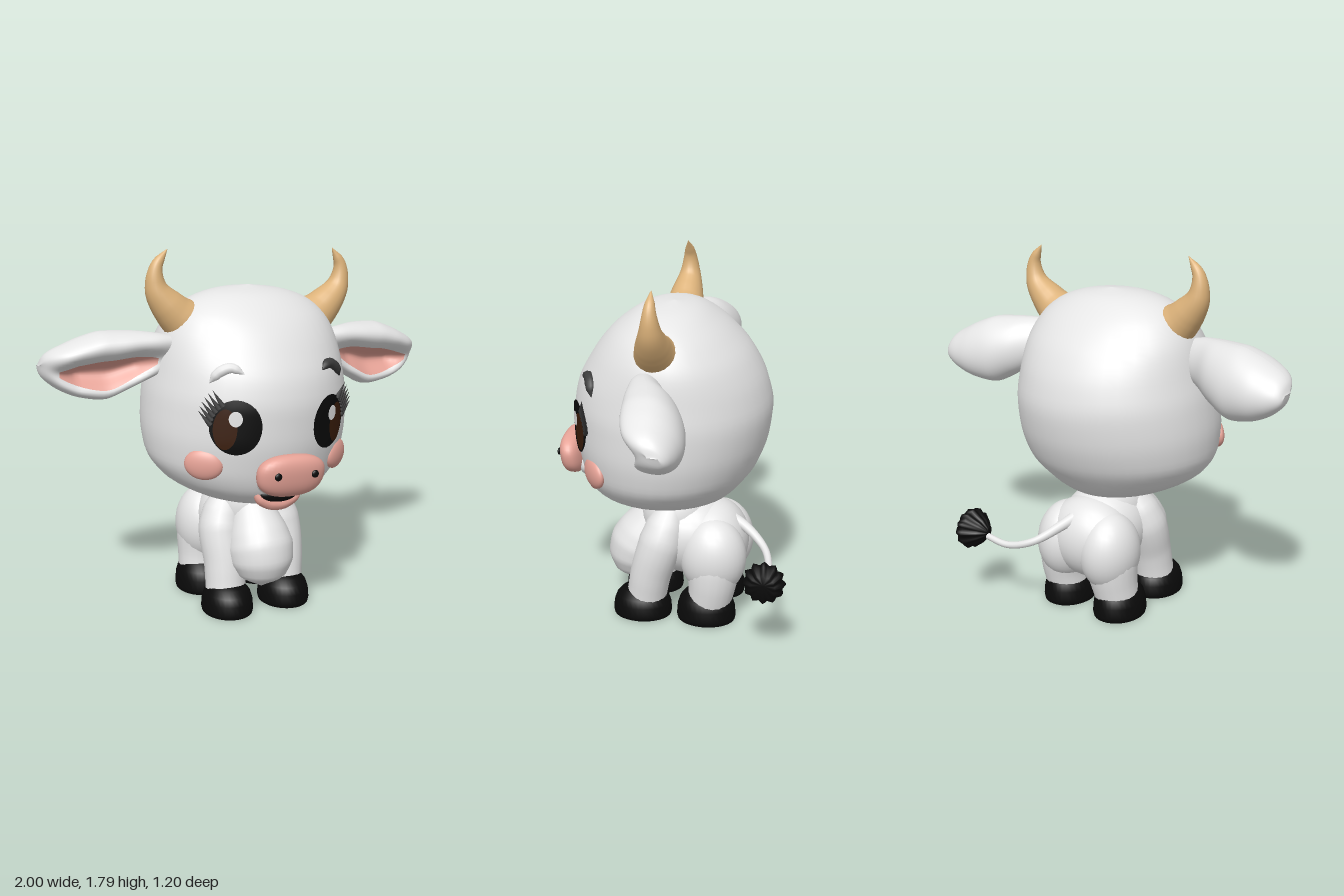
import * as THREE from 'three';
import { mergeVertices } from 'three/addons/utils/BufferGeometryUtils.js';

const V = (x, y, z) => new THREE.Vector3(x, y, z);
const mat = (name, color, side = THREE.FrontSide) => {
  const m = new THREE.MeshStandardMaterial({ color, side });
  m.name = name;
  return m;
};

// Head cross-sections: y, half width, front z, back z
const HEAD = [
  [0.575, 0.001, 0.06, 0.058], [0.585, 0.16, 0.28, -0.12], [0.62, 0.29, 0.39, -0.24], [0.7, 0.42, 0.455, -0.32],
  [0.8, 0.485, 0.485, -0.39], [0.95, 0.505, 0.508, -0.44], [1.08, 0.5, 0.51, -0.455], [1.2, 0.48, 0.488, -0.432],
  [1.34, 0.45, 0.415, -0.365], [1.45, 0.395, 0.33, -0.268], [1.52, 0.315, 0.245, -0.18], [1.57, 0.18, 0.15, -0.09],
  [1.592, 0.001, 0.02, 0.018],
];
// Ear cross-sections: x, top, bottom, front z, back z
const EAR = [
  [0.4, 1.37, 1.21, 0.11, 0.0], [0.5, 1.385, 1.16, 0.125, -0.05], [0.6, 1.39, 1.105, 0.125, -0.12],
  [0.72, 1.387, 1.056, 0.115, -0.165], [0.82, 1.36, 1.07, 0.1, -0.175], [0.9, 1.325, 1.1, 0.07, -0.165],
  [0.96, 1.293, 1.14, 0.02, -0.145], [0.99, 1.262, 1.175, -0.03, -0.12], [1.003, 1.221, 1.219, -0.08, -0.082],
];

// Smooth monotone interpolation between rows
function rowAt(rows, t) {
  let i = 0;
  while (i < rows.length - 2 && t > rows[i + 1][0]) i++;
  const h = rows[i + 1][0] - rows[i][0], k = THREE.MathUtils.clamp((t - rows[i][0]) / h, 0, 1);
  return rows[i].map((v, j) => {
    const slope = (n) => (rows[n + 1][j] - rows[n][j]) / (rows[n + 1][0] - rows[n][0]);
    const tangent = (n) => {
      if (n === 0) return slope(0);
      if (n === rows.length - 1) return slope(n - 1);
      const a = slope(n - 1), b = slope(n);
      return a * b > 0 ? (2 * a * b) / (a + b) : 0;
    };
    const e = rows[i + 1][j], k2 = k * k, k3 = k2 * k;
    return v + (e - v) * (3 * k2 - 2 * k3) + h * (tangent(i) * (k3 - 2 * k2 + k) + tangent(i + 1) * (k3 - k2));
  });
}

function headZ(x, y) {
  const [, w, f, b] = rowAt(HEAD, y);
  return (f + b) / 2 + ((f - b) / 2) * Math.sqrt(Math.max(0, 1 - (x / w) ** 2));
}

function smooth(geo) {
  geo.deleteAttribute('uv');
  geo.deleteAttribute('normal');
  const g = mergeVertices(geo, 1e-5);
  g.computeVertexNormals();
  return g;
}

// Surface from a rule fn(u, v), outward side along dv x du
function grid(nu, nv, fn) {
  const p = [], idx = [];
  for (let i = 0; i <= nu; i++) for (let j = 0; j <= nv; j++) p.push(...fn(i / nu, j / nv));
  for (let i = 0; i < nu; i++) for (let j = 0; j < nv; j++) {
    const a = i * (nv + 1) + j, c = a + nv + 1;
    idx.push(a, a + 1, c, a + 1, c + 1, c);
  }
  const g = new THREE.BufferGeometry();
  g.setAttribute('position', new THREE.Float32BufferAttribute(p, 3));
  g.setIndex(idx);
  return smooth(g);
}

function mirror(geo) {
  const g = geo.clone().scale(-1, 1, 1), ix = g.index;
  for (let i = 0; i < ix.count; i += 3) {
    const a = ix.getX(i);
    ix.setX(i, ix.getX(i + 1));
    ix.setX(i + 1, a);
  }
  g.computeVertexNormals();
  return g;
}

// Tube whose radius follows a list of values
function taper(points, radii, seg = 24, sides = 16) {
  const curve = new THREE.CatmullRomCurve3(points.map((q) => V(...q)));
  const g = new THREE.TubeGeometry(curve, seg, 1, sides), pos = g.attributes.position, v = V();
  for (let i = 0; i <= seg; i++) {
    const c = curve.getPointAt(i / seg), f = (i / seg) * (radii.length - 1), k = Math.min(Math.floor(f), radii.length - 2);
    const r = THREE.MathUtils.lerp(radii[k], radii[k + 1], f - k);
    for (let j = 0; j <= sides; j++) {
      const n = i * (sides + 1) + j;
      v.fromBufferAttribute(pos, n).sub(c).multiplyScalar(r).add(c);
      pos.setXYZ(n, v.x, v.y, v.z);
    }
  }
  return smooth(g);
}

// Ellipse laid on the face
function decal(cx, cy, rx, ry, lift) {
  const g = new THREE.RingGeometry(0.001, 1, 32, 5), p = g.attributes.position;
  for (let i = 0; i < p.count; i++) {
    const x = cx + p.getX(i) * rx, y = cy + p.getY(i) * ry;
    p.setXYZ(i, x, y, headZ(x, y) + lift);
  }
  return smooth(g);
}

// Ear surface: rounded back, hollow front with a rim
function earPoint(x, v, front, lift = 0) {
  const [, t, b, f, k] = rowAt(EAR, x), m = (f + k) / 2, d = (f - k) / 2;
  const hollow = 0.95 * Math.exp(-(((v + 0.18) / 0.45) ** 2)) * THREE.MathUtils.clamp(Math.min((x - 0.4) * 6, (0.985 - x) * 7), 0, 1);
  const z = front ? d * (Math.sqrt(Math.max(0, 1 - v ** 4)) - hollow) : -d * Math.sqrt(Math.max(0, 1 - v * v));
  return [x, (t + b) / 2 + (v * (t - b)) / 2, m + z + 0.025 * v + lift];
}

export function createModel() {
  const white = mat('white coat', 0xe6e6e6), pink = mat('pink skin', 0xe6a397), tan = mat('horn tan', 0xdcb27a);
  const black = mat('black', 0x0a0a0a), brown = mat('iris brown', 0x3a1d0b), grey = mat('lash grey', 0x3c3c3c);
  const root = new THREE.Group(), roll = new THREE.Group(), head = new THREE.Group(), body = new THREE.Group();
  root.name = 'calf'; roll.name = 'headTilt'; head.name = 'head'; body.name = 'body';
  const add = (parent, name, geo, m) => {
    const mesh = new THREE.Mesh(geo, m);
    mesh.name = name;
    parent.add(mesh);
    return mesh;
  };
  const ball = (parent, name, c, r, m) => {
    const mesh = add(parent, name, new THREE.SphereGeometry(1, 32, 20), m);
    mesh.position.set(...c);
    mesh.scale.set(...r);
    return mesh;
  };

  // Head, tilted slightly to one side
  roll.position.set(-0.015, 1.08, 0);
  roll.rotation.z = -0.063;
  head.position.y = -1.08;
  roll.add(head);
  root.add(roll, body);
  add(head, 'skull', grid(48, 40, (u, v) => {
    const [y, w, f, b] = rowAt(HEAD, 0.575 + 1.017 * (0.5 - 0.5 * Math.cos(u * Math.PI))), a = v * Math.PI * 2;
    return [w * Math.sin(a), y, (f + b) / 2 + ((f - b) / 2) * Math.cos(a)];
  }), white);

  // Ears and horns
  const ear = grid(36, 56, (u, v) => {
    const a = v * Math.PI * 2;
    return earPoint(0.4 + 0.603 * Math.sin((u * Math.PI) / 2), Math.cos(a), Math.sin(a) >= 0);
  });
  const earInside = grid(20, 12, (u, v) => {
    const w = 0.44 * Math.sqrt(Math.sin(Math.PI * (0.03 + 0.94 * u)));
    return earPoint(0.48 + 0.45 * u, (1 - 2 * v) * w - 0.2, true, 0.007);
  });
  const horn = taper([[0.3, 1.4, 0.04], [0.4, 1.48, 0.04], [0.48, 1.58, 0.035], [0.487, 1.68, 0.035], [0.435, 1.765, 0.035]],
    [0.105, 0.105, 0.09, 0.078, 0.063, 0.047, 0.034, 0.022, 0.001], 40, 20);
  for (const s of [1, -1]) {
    const side = s > 0 ? 'left' : 'right', pick = (g) => (s > 0 ? g : mirror(g));
    add(head, side + 'Ear', pick(ear), white);
    add(head, side + 'EarInside', pick(earInside), pink);
    add(head, side + 'Horn', pick(horn), tan);

    // Eye, lashes, brow and cheek
    add(head, side + 'Eye', decal(s * 0.24, 1.015, 0.107, 0.128, 0.008), black);
    add(head, side + 'Iris', decal(s * 0.287, 1.005, 0.047, 0.095, 0.012), brown);
    add(head, side + 'EyeShine', decal(s * 0.25, 1.058, 0.028, 0.036, 0.016), white);
    for (let i = 0; i < 6; i++) {
      const a = 0.1 + i * 0.17, x = 0.24 + 0.107 * Math.cos(a), y = 1.015 + 0.128 * Math.sin(a);
      const lash = add(head, side + 'Lash', new THREE.ConeGeometry(0.014, 0.09, 6).translate(0, 0.035, 0), grey);
      lash.position.set(s * x, y, headZ(x, y) + 0.008);
      lash.quaternion.setFromUnitVectors(V(0, 1, 0), V(s * (0.25 + 0.45 * Math.cos(a)), 0.8, -0.2).normalize());
    }
    const brow = [[0.2, 1.255], [0.25, 1.278], [0.3, 1.255], [0.34, 1.205]].map(([x, y]) => [s * x, y, headZ(x, y) + 0.002]);
    add(head, side + 'Brow', taper(brow, [0.001, 0.02, 0.025, 0.026, 0.022, 0.001], 20, 10), s > 0 ? grey : white);
    ball(head, side + 'Cheek', [s * 0.347, 0.822, 0.352], [0.092, 0.073, 0.034], pink).rotation.y = s * 0.66;
    ball(head, side + 'Nostril', [s * 0.095 + 0.01, 0.812, 0.594], [0.018, 0.018, 0.009], black);
  }

  // Muzzle, nose and open mouth
  ball(head, 'muzzle', [0.01, 0.745, 0.45], [0.13, 0.075, 0.065], white);
  const nose = new THREE.SphereGeometry(1, 36, 24), np = nose.attributes.position;
  for (let i = 0; i < np.count; i++) {
    const v = V().fromBufferAttribute(np, i), p = 2.5;
    v.divideScalar((Math.abs(v.x) ** p + Math.abs(v.y) ** p + Math.abs(v.z) ** p) ** (1 / p));
    np.setXYZ(i, 0.01 + v.x * 0.17 * (1 + 0.06 * v.y), 0.795 + v.y * 0.102, 0.532 + v.z * 0.063 + v.y * 0.012);
  }
  add(head, 'nose', smooth(nose), pink);
  ball(head, 'mouthInside', [0.012, 0.672, 0.425], [0.1, 0.042, 0.038], black);
  add(head, 'lowerLip', taper([[-0.112, 0.71, 0.415], [-0.08, 0.652, 0.418], [0.012, 0.622, 0.42], [0.104, 0.652, 0.418], [0.136, 0.71, 0.415]],
    [0.001, 0.026, 0.033, 0.033, 0.026, 0.001], 32, 12), pink);

  // Torso, neck, rump and chest
  ball(body, 'torso', [0, 0.4, -0.05], [0.215, 0.21, 0.24], white);
  ball(body, 'neck', [0, 0.5, 0.01], [0.18, 0.2, 0.18], white);
  ball(body, 'rump', [0, 0.37, -0.175], [0.235, 0.205, 0.178], white);
  add(body, 'chest', taper([[-0.005, 0.56, 0.05], [-0.005, 0.44, 0.13], [-0.005, 0.28, 0.2], [-0.005, 0.11, 0.21]],
    [0.09, 0.1, 0.125, 0.15, 0.166, 0.158, 0.12, 0.001], 32, 28), white);

  // Legs and hooves
  const hoof = new THREE.LatheGeometry([[0, 0], [0.97, 0], [1, 0.02], [0.97, 0.07], [0.88, 0.11], [0.7, 0.142], [0.4, 0.158], [0, 0.16]]
    .map((q) => new THREE.Vector2(...q)), 32);
  for (const s of [1, -1]) {
    const side = s > 0 ? 'left' : 'right', cx = s * 0.156 - 0.014;
    add(body, side + 'FrontLeg', taper([[s * 0.1, 0.56, 0.02], [s * 0.155, 0.4, 0.06], [s * 0.16, 0.24, 0.11], [cx, 0.06, 0.145]],
      [0.07, 0.1, 0.112, 0.108, 0.103, 0.1, 0.1], 24, 20), white);
    ball(body, side + 'Haunch', [s * 0.13, 0.33, -0.195], [0.145, 0.2, 0.165], white);
    add(body, side + 'HindLeg', taper([[s * 0.13, 0.36, -0.2], [s * 0.15, 0.2, -0.195], [cx, 0.06, -0.175]], [0.135, 0.13, 0.115, 0.105], 16, 20), white);
    for (const [name, z, h] of [['FrontHoof', 0.16, 0.92], ['HindHoof', -0.165, 1.02]]) {
      const m = add(body, side + name, hoof, black);
      m.position.set(cx, 0, z);
      m.scale.set(0.125, h, 0.148);
    }
  }

  // Tail with fluted tuft
  add(body, 'tail', taper([[0, 0.52, -0.2], [0.05, 0.47, -0.34], [0.14, 0.4, -0.45], [0.27, 0.36, -0.49], [0.42, 0.375, -0.495]],
    [0.04, 0.026, 0.019, 0.017, 0.016], 32, 12), white);
  const tuft = new THREE.LatheGeometry([[0, -0.085], [0.025, -0.08], [0.055, -0.05], [0.095, 0.01], [0.088, 0.045], [0.055, 0.075], [0, 0.055]]
    .map((q) => new THREE.Vector2(...q)), 48), tp = tuft.attributes.position;
  for (let i = 0; i < tp.count; i++) {
    const k = 1 + 0.09 * Math.cos(12 * Math.atan2(tp.getX(i), tp.getZ(i)));
    tp.setXYZ(i, tp.getX(i) * k, tp.getY(i), tp.getZ(i) * k);
  }
  add(body, 'tailTuft', smooth(tuft).rotateZ(-Math.PI / 2), black).position.set(0.48, 0.39, -0.495);
  return root;
}
